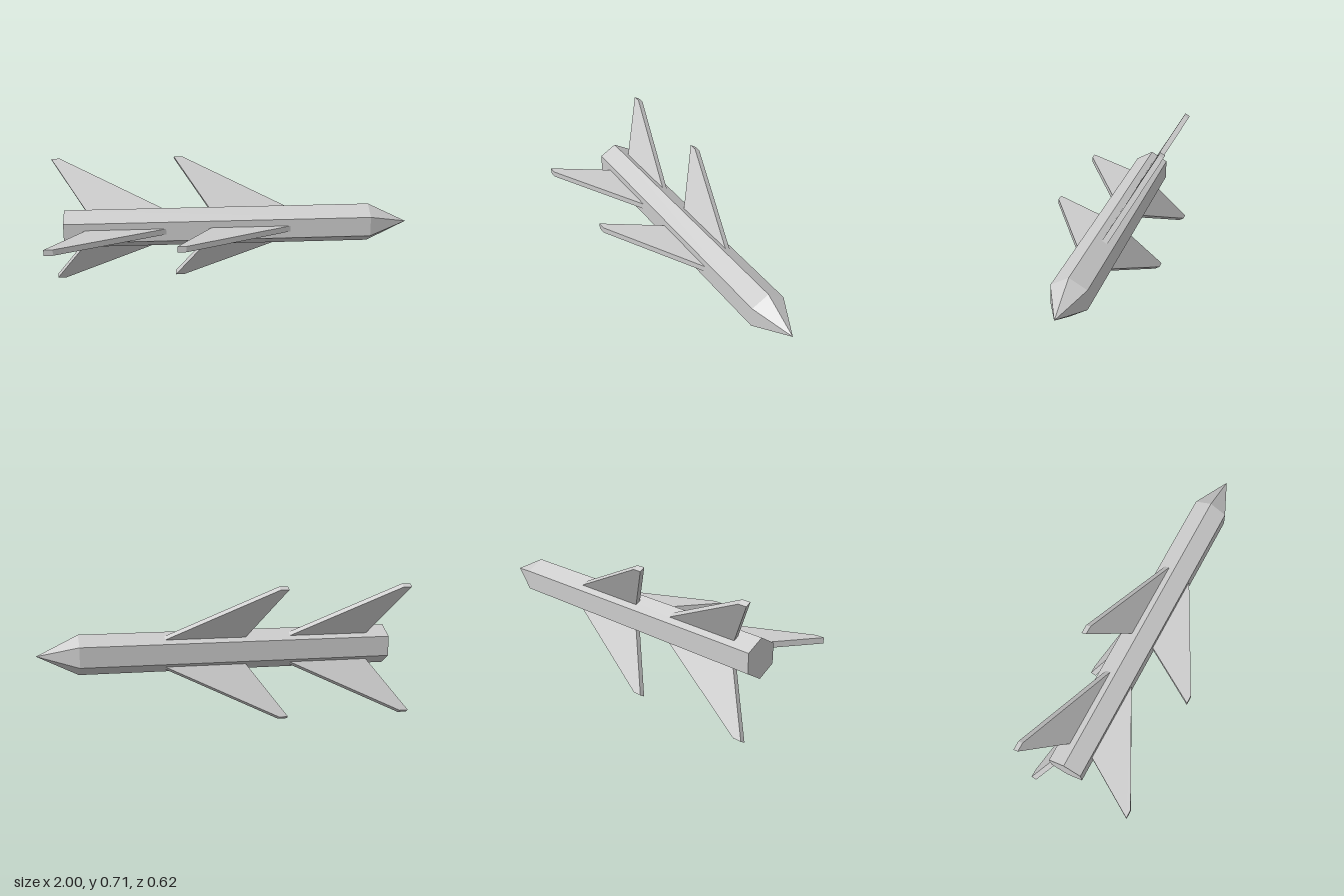
import * as THREE from 'three';

const material = new THREE.MeshStandardMaterial({ color: 0xcccccc, flatShading: true });
const RADIUS = 0.108;                                // hexagon corner radius
const FLAT = RADIUS * Math.cos(Math.PI / 6);         // hexagon centre to face
const SPAN = 0.403;                                  // axis to fin tip
const THICKNESS = 0.032;

// six-sided section lying along x, with corners at top and bottom
function hexSection(name, frontRadius, x0, x1) {
  const geometry = new THREE.CylinderGeometry(frontRadius, RADIUS, x1 - x0, 6, 1, false, Math.PI / 6);
  geometry.rotateZ(-Math.PI / 2);
  geometry.translate((x0 + x1) / 2, 0, 0);
  const mesh = new THREE.Mesh(geometry, material);
  mesh.name = name;
  return mesh;
}

// swept plate fin pointing to +z, its tip's rear corner at x = 0
function finGeometry() {
  const outline = new THREE.Shape([
    new THREE.Vector2(0, SPAN),
    new THREE.Vector2(0.195, FLAT),
    new THREE.Vector2(0.636, FLAT),
    new THREE.Vector2(0.048, SPAN),
  ]);
  const geometry = new THREE.ExtrudeGeometry(outline, { depth: THICKNESS, bevelEnabled: false });
  geometry.translate(0, 0, -THICKNESS / 2);
  geometry.rotateX(Math.PI / 2);
  return geometry;
}

export function createModel() {
  const model = new THREE.Group();
  model.name = 'missile';

  const body = hexSection('body', RADIUS, -0.925, 0.78);
  const nose = hexSection('nose', 0, 0.78, 1);
  model.add(body, nose);

  // two rings of three fins
  const fin = finGeometry();
  for (const [name, x] of [['tailFin', -1], ['midFin', -0.31]]) {
    for (let i = 0; i < 3; i++) {
      const mesh = new THREE.Mesh(fin, material);
      mesh.name = name + (i + 1);
      mesh.position.x = x;
      mesh.rotation.x = (i * Math.PI * 2) / 3;
      model.add(mesh);
    }
  }

  // rest on the lower fin tips, centred in depth
  model.position.set(0, 0.357, -0.094);
  const root = new THREE.Group();
  root.add(model);
  return root;
}
